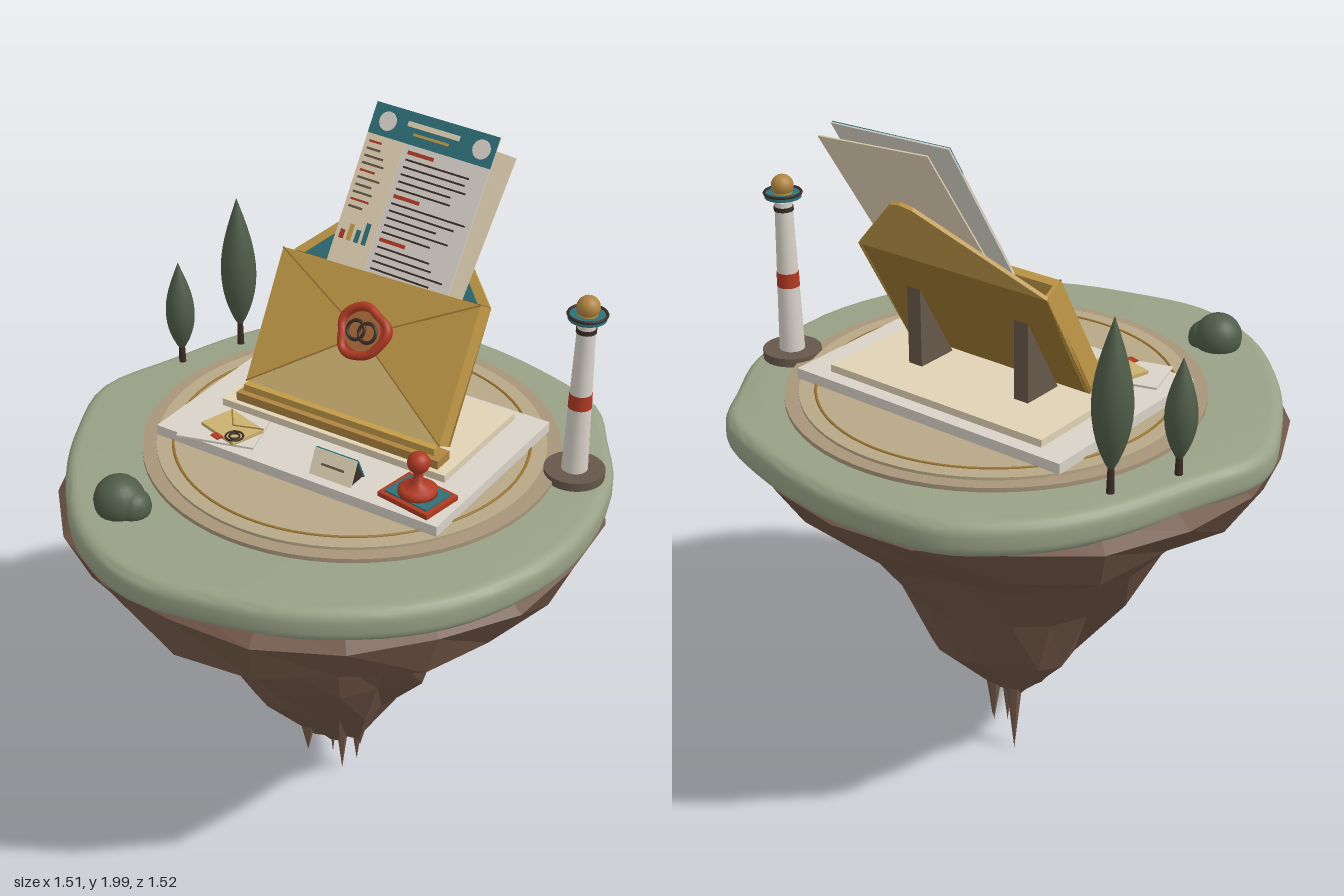
import * as THREE from 'three';
import { toCreasedNormals } from 'three/addons/utils/BufferGeometryUtils.js';

const C = {
  rock: 0x6f5546, grass: 0x98a186, stone: 0xa8957a, sand: 0xb8a888, gold: 0xc29a48, goldDark: 0x9a7430,
  goldLight: 0xcbb070, cream: 0xe0d2b4, white: 0xd8d2c8, red: 0xb03a22, teal: 0x2f7078, dark: 0x3a2c24,
  leaf: 0x4f5c48, post: 0x66574a, wood: 0xb08440
};

function add(parent, name, geo, color, pos = [0, 0, 0], rot = [0, 0, 0], opts = {}) {
  const mesh = new THREE.Mesh(geo, new THREE.MeshStandardMaterial({ color, ...opts }));
  mesh.name = name;
  mesh.position.set(...pos);
  mesh.rotation.set(...rot);
  parent.add(mesh);
  return mesh;
}
function group(parent, name, pos = [0, 0, 0], rot = [0, 0, 0]) {
  const g = new THREE.Group();
  g.name = name;
  g.position.set(...pos);
  g.rotation.set(...rot);
  parent.add(g);
  return g;
}
const box = (w, h, d) => new THREE.BoxGeometry(w, h, d);
const disc = (r, h, r2 = r, n = 32) => new THREE.CylinderGeometry(r2, r, h, n);
const plate = (pts, depth) => new THREE.ExtrudeGeometry(
  new THREE.Shape(pts.map(p => new THREE.Vector2(...p))), { depth, bevelEnabled: false });
const lathe = (pts, n = 20) => new THREE.LatheGeometry(pts.map(p => new THREE.Vector2(...p)), n);

function seeded(seed) {
  return () => (seed = (seed * 16807) % 2147483647) / 2147483647;
}

// Rounded grass slab with an irregular outline (x, z)
function grassSlab(root) {
  const outline = [[-.757, .06], [-.69, -.18], [-.61, -.41], [-.51, -.57], [-.345, -.71], [-.2, -.752], [.04, -.765],
    [.31, -.71], [.49, -.63], [.59, -.49], [.695, -.31], [.75, .02], [.675, .31], [.55, .49], [.33, .65], [.1, .725],
    [-.12, .755], [-.345, .67], [-.55, .47], [-.68, .265]];
  const curve = new THREE.CatmullRomCurve3(outline.map(([x, z]) => new THREE.Vector3(x, -z, 0)), true);
  const shape = new THREE.Shape(curve.getPoints(80).slice(0, -1).map(p => new THREE.Vector2(p.x, p.y)));
  const geo = new THREE.ExtrudeGeometry(shape, {
    depth: .03, bevelThickness: .035, bevelSize: .035, bevelOffset: -.035, bevelSegments: 5
  });
  geo.rotateX(-Math.PI / 2);
  add(root, 'grassSlab', toCreasedNormals(geo, .8), C.grass, [0, 1.115, 0]);
}

// Faceted rock cone lofted from jittered rings: [y, radius, centre x, centre z, jitter]
function rock(root) {
  const rings = [[1.11, .70, 0, 0, 0], [1.075, .752, 0, 0, .012], [.95, .675, 0, .02, .03], [.82, .49, -.01, 0, .03],
    [.6, .36, 0, -.01, .03], [.4, .235, 0, -.02, .025], [.21, .085, .01, -.015, .015], [.18, .002, .01, -.015, 0]];
  const n = 20, rnd = seeded(77), pos = [], idx = [];
  rings.forEach(([y, r, cx, cz, j]) => {
    for (let i = 0; i < n; i++) {
      const a = i / n * Math.PI * 2, rr = r + (rnd() * 2 - 1) * j;
      pos.push(cx + Math.cos(a) * rr, y + (rnd() - .5) * j, cz + Math.sin(a) * rr);
    }
  });
  for (let k = 0; k < rings.length - 1; k++) for (let i = 0; i < n; i++) {
    const a = k * n + i, b = k * n + (i + 1) % n;
    idx.push(a, b, a + n, b, b + n, a + n);
  }
  const geo = new THREE.BufferGeometry();
  geo.setAttribute('position', new THREE.Float32BufferAttribute(pos, 3));
  geo.setIndex(idx);
  const flat = geo.toNonIndexed();
  flat.computeVertexNormals();
  add(root, 'rock', flat, C.rock, [0, 0, 0], [0, 0, 0], { flatShading: true });
  // Hanging spikes, given by their tips
  [[-.05, .01, -.08], [.03, .035, -.01], [.06, .06, -.045], [.01, .1, -.1], [.1, .17, 0], [-.03, .15, .085]]
    .forEach(([x, y, z]) => {
      const h = .28 - y;
      add(root, 'rockSpike', new THREE.ConeGeometry(.028, h, 6), C.rock, [x, y + h / 2, z], [Math.PI, 0, 0], { flatShading: true });
    });
}

// Round plaza and stacked plinths
function plaza(root) {
  add(root, 'plazaRim', disc(.572, .03, .572, 64), C.stone, [.018, 1.177, -.07]);
  add(root, 'plazaFloor', disc(.533, .03, .533, 64), C.sand, [.018, 1.185, -.07]);
  add(root, 'plazaInlay', new THREE.TorusGeometry(.488, .004, 6, 72), C.goldDark, [.018, 1.2, -.07], [Math.PI / 2, 0, 0]);
  add(root, 'lowerPlinth', box(.887, .03, .603), C.white, [.017, 1.215, -.08]);
  add(root, 'upperPlinth', box(.713, .022, .377), C.cream, [.017, 1.24, -.152]);
}

// Leaning sheets with header, columns, chart and ruled lines
function sheets(env) {
  add(env, 'backSheet', box(.37, .54, .004), C.cream, [.06, .515, -.04], [0, 0, -.09]);
  const s = group(env, 'frontSheet', [.018, .54, -.02], [0, 0, -.04]);
  const W = .38, H = .55;
  add(s, 'paper', box(W, H, .005), C.white);
  add(s, 'header', box(W, .085, .003), C.teal, [0, H / 2 - .0425, .003]);
  add(s, 'sideColumn', box(.12, H - .085, .003), C.cream, [-.13, -.0425, .003]);
  for (const x of [-.14, .15])
    add(s, 'headerDisc', disc(.026, .004, .026, 20), C.white, [x, .232, .005], [Math.PI / 2, 0, 0]);
  add(s, 'headerBar', box(.16, .014, .003), C.cream, [0, .242, .004]);
  add(s, 'headerBar', box(.11, .007, .003), C.gold, [0, .218, .004]);
  const rnd = seeded(12);
  for (let i = 0; i < 17; i++) {
    const y = .17 - i * .02, title = i % 6 === 0;
    const w = title ? .08 : .15 + rnd() * .08;
    add(s, 'ruledLine', box(w, title ? .01 : .005, .003), title ? C.red : C.dark, [-.055 + w / 2, y, .003]);
    const v = .04 + rnd() * .05;
    if (i < 10) add(s, 'sideLine', box(v, .006, .003), i % 4 ? C.post : C.red, [-.178 + v / 2, y, .004]);
  }
  [.025, .045, .035, .06].forEach((h, i) =>
    add(s, 'chartBar', box(.014, h, .003), [C.red, C.gold, C.teal, C.teal][i], [-.17 + i * .024, -.1 + h / 2, .004]));
}

// Open envelope leaning back on two wedge posts
function envelope(root) {
  const env = group(root, 'envelope', [.013, 1.295, -.02], [-Math.PI / 6, 0, 0]);
  const w = .31, h = .38, d = .065, m = [0, .215];
  add(env, 'frontPanel', box(2 * w, h, .018), C.gold, [0, h / 2, -.009]);
  add(env, 'backPanel', box(2 * w, h, .012), C.goldDark, [0, h / 2, -d + .006]);
  add(env, 'lining', box(2 * w - .03, h - .02, .003), C.teal, [0, h / 2, -d + .0135]);
  add(env, 'bottomPanel', box(2 * w, .012, d), C.gold, [0, .006, -d / 2]);
  for (const s of [-1, 1]) add(env, 'sidePanel', box(.012, h, d), C.gold, [s * (w - .006), h / 2, -d / 2]);
  // Folded triangles and their creases
  const corner = [[-w, 0], [w, 0], [w, h], [-w, h]];
  corner.forEach((a, i) => {
    const b = corner[(i + 1) % 4];
    add(env, 'foldedTriangle', plate([a, b, m], .003), i === 0 ? C.goldLight : C.gold);
    const dx = m[0] - a[0], dy = m[1] - a[1];
    add(env, 'crease', box(Math.hypot(dx, dy), .004, .004), C.goldDark,
      [(a[0] + m[0]) / 2, (a[1] + m[1]) / 2, .003], [0, 0, Math.atan2(dy, dx)]);
  });
  // Open flap
  const flap = group(env, 'flap', [0, h, -d], [-.15, 0, 0]);
  const tri = (k) => [[-w * k, 0], [w * k, 0], [.035, .285 * k], [0, .295 * k], [-.035, .285 * k]];
  add(flap, 'flapOuter', plate(tri(1), .01), C.gold);
  add(flap, 'flapLining', plate(tri(.88), .003), C.teal, [0, 0, .01]);
  // Wax seal with two linked rings
  const seal = group(env, 'waxSeal', [.007, .225, .003]);
  const blob = Array.from({ length: 40 }, (_, i) => {
    const a = i / 40 * Math.PI * 2, r = .074 + .005 * Math.sin(3 * a + 1) + .003 * Math.sin(5 * a);
    return [Math.cos(a) * r * 1.02, Math.sin(a) * r];
  });
  add(seal, 'sealBody', toCreasedNormals(plate(blob, .018), .7), C.red);
  const rim = new THREE.CatmullRomCurve3(blob.map(([x, y]) => new THREE.Vector3(x * .9, y * .9, .018)), true);
  add(seal, 'sealRim', new THREE.TubeGeometry(rim, 60, .012, 8, true), C.red);
  add(seal, 'sealCentre', disc(.054, .004), 0xa8683a, [0, 0, .019], [Math.PI / 2, 0, 0]);
  for (const s of [-1, 1])
    add(seal, 'sealRing', new THREE.TorusGeometry(.026, .005, 8, 28), C.dark, [s * .018, 0, .022]);
  sheets(env);
  // Foot ledge and posts
  add(root, 'ledge', box(.645, .026, .062), C.wood, [.02, 1.263, -.01]);
  add(root, 'ledgeLip', box(.61, .022, .03), C.gold, [.015, 1.285, -.012]);
  for (const s of [-1, 1])
    add(root, 'supportPost', plate([[.07, 1.25], [.2, 1.25], [.2, 1.475]], .045), C.post,
      [.013 + s * .18 - .0225, 0, 0], [0, Math.PI / 2, 0]);
}

function lighthouse(root) {
  const g = group(root, 'lighthouse', [.605, 1.18, -.253]);
  add(g, 'base', disc(.082, .025), C.post, [0, .012, 0]);
  add(g, 'tower', disc(.036, .45, .024, 24), C.white, [0, .235, 0]);
  add(g, 'redBand', disc(.0315, .042, .0305, 24), C.red, [0, .235, 0]);
  add(g, 'collar', disc(.027, .012, .027, 24), C.dark, [0, .44, 0]);
  add(g, 'gallery', disc(.05, .012), C.teal, [0, .478, 0]);
  add(g, 'galleryRail', new THREE.TorusGeometry(.05, .004, 6, 32), C.dark, [0, .485, 0], [Math.PI / 2, 0, 0]);
  add(g, 'lantern', disc(.027, .03, .027, 20), C.gold, [0, .49, 0]);
  add(g, 'dome', new THREE.SphereGeometry(.031, 20, 12), C.wood, [0, .504, 0]);
}

// Slim trees and a bush
function plants(root) {
  [[-.557, -.348, .052, 1.235, 1.65], [-.637, -.167, .042, 1.215, 1.5]].forEach(([x, z, r, y0, y1]) => {
    const prof = Array.from({ length: 15 }, (_, i) => {
      const t = i / 14;
      return [Math.max(.0005, r * Math.sin(Math.PI * Math.pow(t, .85))), y0 + (y1 - y0) * t];
    });
    add(root, 'treeCrown', lathe(prof, 18), C.leaf, [x, 0, z]);
    add(root, 'treeTrunk', disc(.011, .1, .008, 10), C.dark, [x, 1.22, z]);
  });
  add(root, 'bush', new THREE.SphereGeometry(.068, 20, 14), C.leaf, [-.305, 1.208, .537]);
  add(root, 'bushSide', new THREE.SphereGeometry(.05, 18, 12), C.leaf, [-.268, 1.198, .53]);
}

// Stamp on its pad, tent card and small letter
function deskItems(root) {
  const st = group(root, 'stamp', [.352, 1.23, .135], [0, -.16, 0]);
  add(st, 'padFrame', box(.165, .014, .125), C.red, [0, .007, 0]);
  add(st, 'pad', box(.14, .006, .1), C.teal, [0, .015, 0]);
  add(st, 'stampBody', lathe([[0, .016], [.052, .016], [.052, .03], [.044, .036], [.016, .046], [.012, .075], [.014, .09]], 24),
    C.red, [0, 0, 0], [0, 0, 0], { side: THREE.DoubleSide });
  add(st, 'stampKnob', new THREE.SphereGeometry(.03, 20, 14), C.red, [0, .108, 0]);

  const card = group(root, 'tentCard', [.12, 1.23, .16]);
  add(card, 'cardCore', plate([[-.03, 0], [.03, 0], [0, .062]], .12), C.dark, [-.06, 0, 0], [0, Math.PI / 2, 0]);
  const a = Math.atan2(.03, .064);
  for (const s of [-1, 1])
    add(card, 'cardFace', box(.13, .072, .004), s > 0 ? C.cream : C.teal, [0, .033, s * .017], [-s * a, 0, 0]);
  add(card, 'cardLine', box(.07, .006, .004), C.post, [0, .033, .0195], [-a, 0, 0]);

  add(root, 'noteSheet', box(.22, .006, .142), C.white, [-.26, 1.233, .143], [0, .28, 0]);
  const let1 = group(root, 'smallLetter', [-.237, 1.236, .132], [0, -.29, 0]);
  add(let1, 'letterBody', box(.14, .01, .105), C.goldLight, [0, .005, 0]);
  for (const s of [-1, 1])
    add(let1, 'letterFold', box(.086, .003, .004), C.goldDark, [s * .035, .0105, -.027], [0, s * .62, 0]);
  add(let1, 'letterTag', box(.03, .004, .02), C.red, [.012, .008, .062]);
  for (const r of [.024, .014])
    add(let1, 'postmark', new THREE.TorusGeometry(r, .003, 6, 24), C.dark, [.048, .012, .03], [Math.PI / 2, 0, 0]);
}

export function createModel() {
  const root = new THREE.Group();
  root.name = 'floatingIsland';
  [grassSlab, rock, plaza, envelope, lighthouse, plants, deskItems].forEach(build => build(root));
  return root;
}
